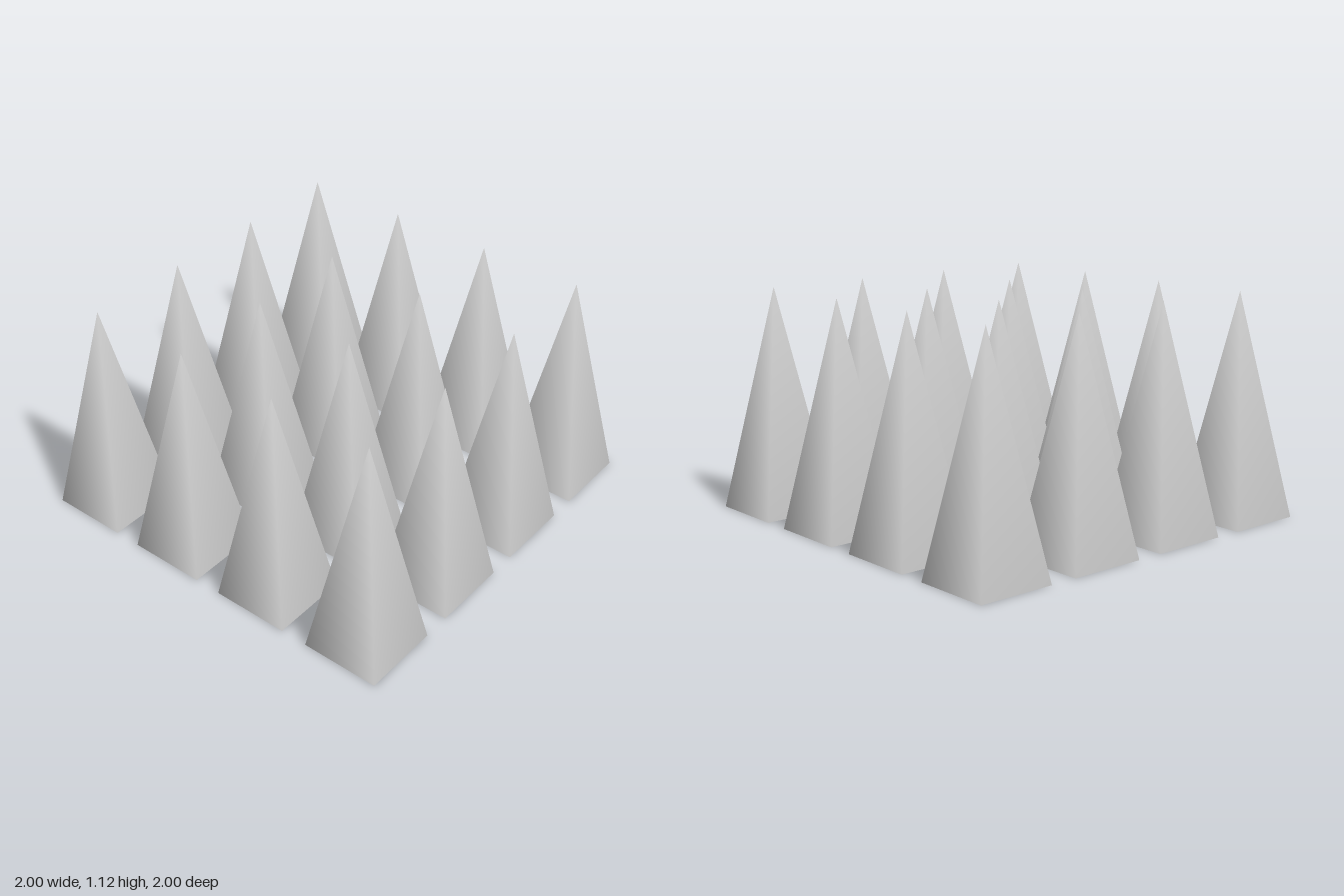
import * as THREE from 'three';

const COUNT = 4;
const SIDE = 0.396;
const HEIGHT = 1.12;
const PITCH = (2 - SIDE) / (COUNT - 1);

// Hollow four-sided spike, open at y = 0, softly shaded towards the tip
function spikeGeometry() {
  const geometry = new THREE.ConeGeometry(SIDE / Math.SQRT2, HEIGHT, 4, 1, true);
  geometry.rotateY(Math.PI / 4);
  geometry.translate(0, HEIGHT / 2, 0);
  const { position, normal } = geometry.attributes;
  for (let i = 0; i < position.count; i++) {
    if (position.getY(i) > HEIGHT * 0.9) normal.setXYZ(i, 0, 1, 0);
  }
  return geometry;
}

export function createModel() {
  const model = new THREE.Group();
  model.name = 'spikeGrid';
  const material = new THREE.MeshStandardMaterial({ color: 0xcccccc, side: THREE.DoubleSide });
  const geometry = spikeGeometry();

  // Square grid of identical spikes
  for (let row = 0; row < COUNT; row++) {
    for (let column = 0; column < COUNT; column++) {
      const spike = new THREE.Mesh(geometry, material);
      spike.name = `spikeRow${row + 1}Column${column + 1}`;
      spike.position.set(
        (column - (COUNT - 1) / 2) * PITCH,
        0,
        (row - (COUNT - 1) / 2) * PITCH
      );
      model.add(spike);
    }
  }
  return model;
}
